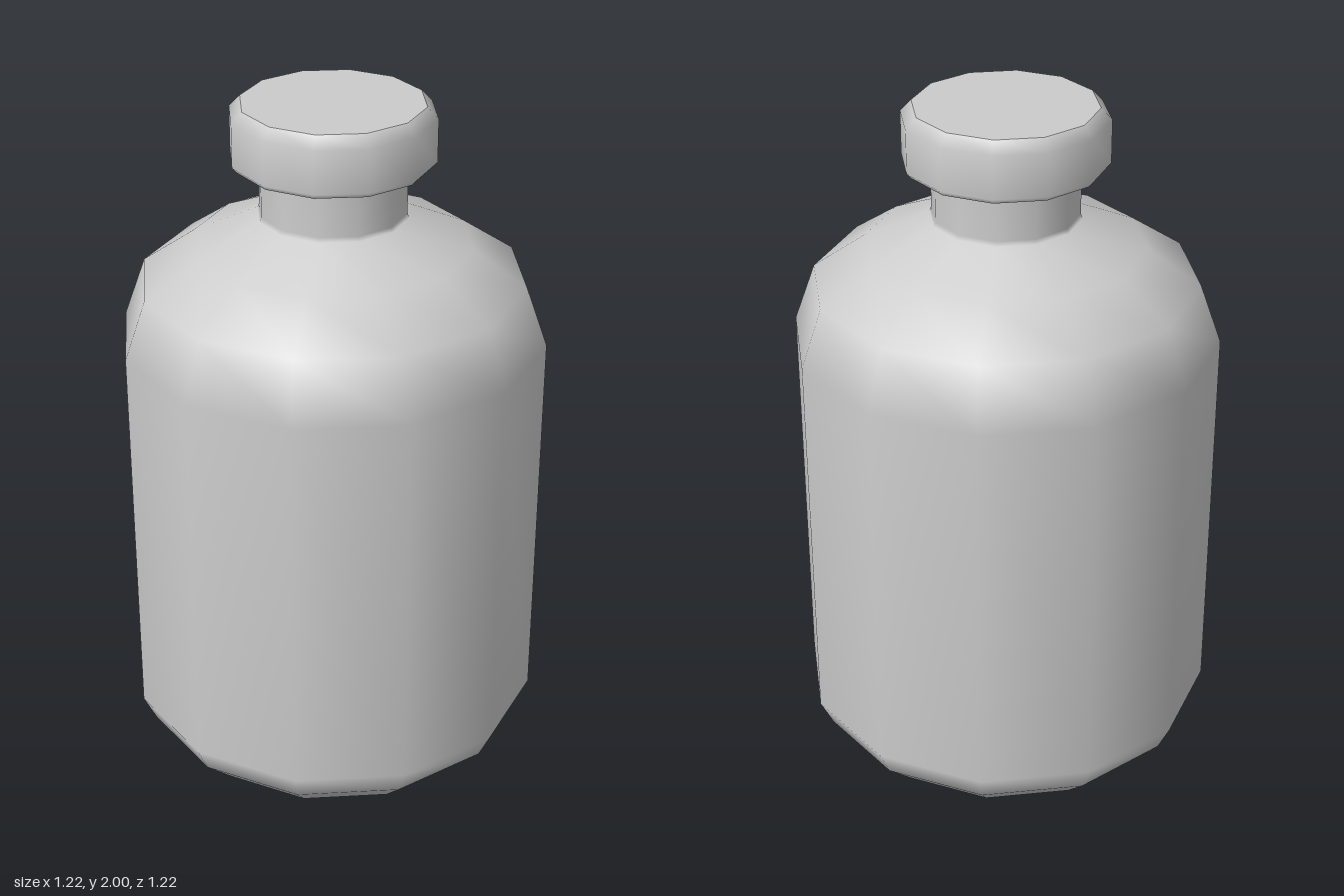
import * as THREE from 'three';

const SIDES = 12;
const material = new THREE.MeshStandardMaterial({ color: 0xcccccc });

// Each profile runs bottom to top; separate profiles meet in a sharp edge.
function turned(name, profiles) {
  const part = new THREE.Group();
  part.name = name;
  for (const [label, points] of Object.entries(profiles)) {
    const curve = points.map(([r, y]) => new THREE.Vector2(r, y));
    const mesh = new THREE.Mesh(new THREE.LatheGeometry(curve, SIDES), material);
    mesh.name = label;
    part.add(mesh);
  }
  return part;
}

export function createModel() {
  const model = new THREE.Group();
  model.name = 'bottle';

  // Body with bevelled foot, rounded shoulder and neck
  model.add(turned('body', {
    base: [[0, 0], [0.475, 0]],
    wall: [[0.475, 0], [0.57, 0.09], [0.608, 0.17], [0.608, 1.32],
      [0.547, 1.49], [0.395, 1.595], [0.213, 1.677], [0.208, 1.69], [0.208, 1.84]],
  }));

  // Stopper with chamfered rims
  model.add(turned('cap', {
    capUnderside: [[0.2, 1.83], [0.275, 1.83]],
    capSide: [[0.275, 1.83], [0.288, 1.845], [0.288, 1.968], [0.257, 2]],
    capTop: [[0.257, 2], [0, 2]],
  }));

  return model;
}
